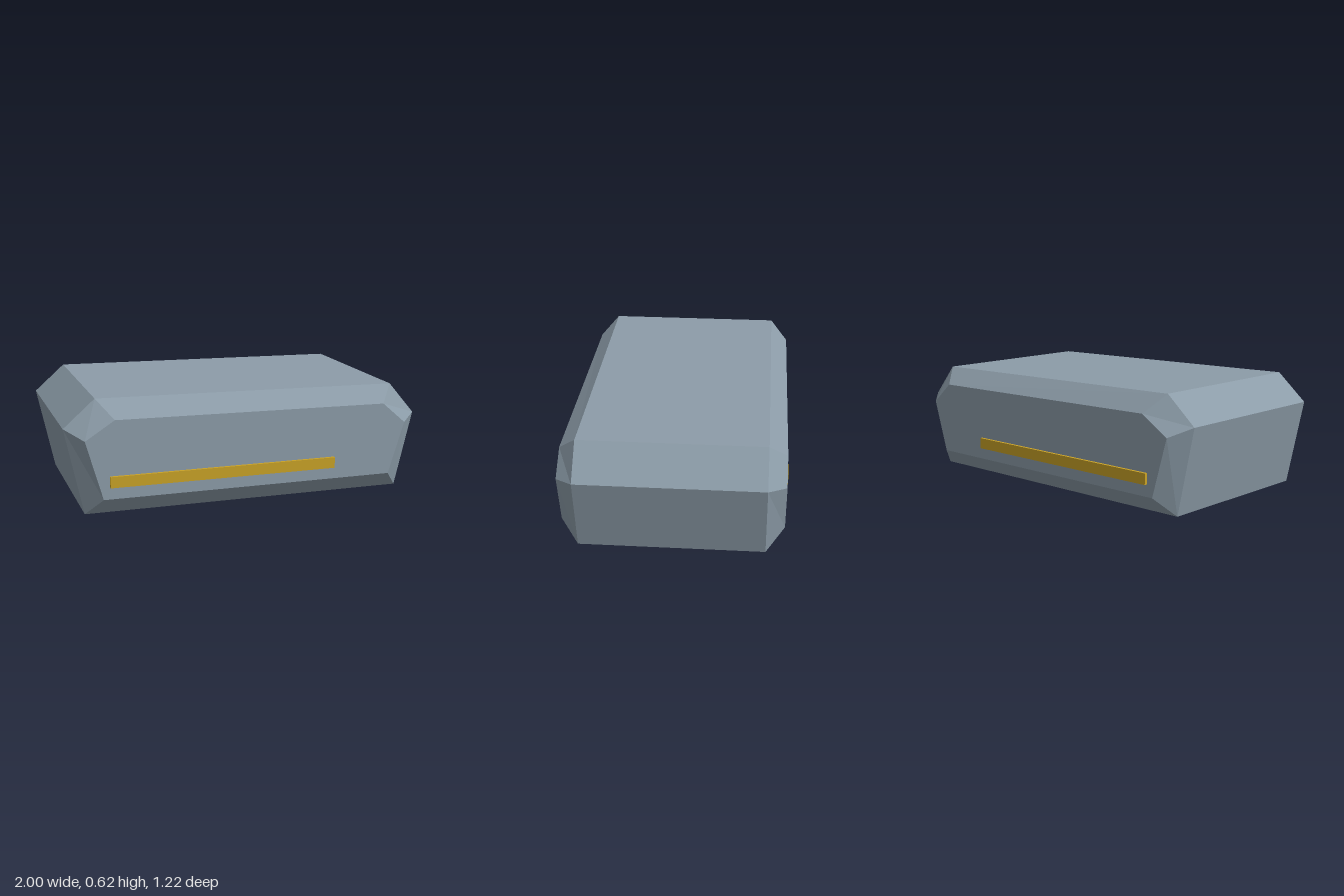
import * as THREE from 'three';

// Side profile, counter-clockwise seen from the front: full size and the smaller end faces
const outer = [[-0.9, 0], [0.9, 0], [1, 0.42], [0.85, 0.595], [-0.83, 0.62], [-1, 0.47]];
const inner = [[-0.815, 0.1], [0.81, 0.1], [0.9, 0.39], [0.767, 0.505], [-0.747, 0.522], [-0.905, 0.42]];

// Joins matching cross-sections [points, z] from back to front and caps both ends
function loft(sections) {
  const n = sections[0][0].length;
  const positions = [];
  const index = [];
  for (const [points, z] of sections) {
    for (const [x, y] of points) positions.push(x, y, z);
  }
  for (let s = 0; s < sections.length - 1; s++) {
    for (let i = 0; i < n; i++) {
      const a = s * n + i;
      const b = s * n + (i + 1) % n;
      index.push(a, b, b + n, a, b + n, a + n);
    }
  }
  const last = (sections.length - 1) * n;
  for (let i = 1; i < n - 1; i++) {
    index.push(0, i + 1, i);
    index.push(last, last + i, last + i + 1);
  }
  const indexed = new THREE.BufferGeometry();
  indexed.setAttribute('position', new THREE.Float32BufferAttribute(positions, 3));
  indexed.setIndex(index);
  const geometry = indexed.toNonIndexed();
  geometry.computeVertexNormals();
  return geometry;
}

export function createModel() {
  const group = new THREE.Group();
  group.name = 'bevelledHull';

  const hullGrey = new THREE.MeshStandardMaterial({ color: 0x8c9ca8 });
  hullGrey.name = 'hullGrey';
  const stripeGold = new THREE.MeshStandardMaterial({ color: 0xc9a227 });
  stripeGold.name = 'stripeGold';

  // Chamfered body
  const body = new THREE.Mesh(
    loft([[inner, -0.593], [outer, -0.495], [outer, 0.495], [inner, 0.593]]),
    hullGrey
  );
  body.name = 'body';
  group.add(body);

  // Raised stripe on the front and the back
  for (const side of [1, -1]) {
    const stripe = new THREE.Mesh(new THREE.BoxGeometry(1.256, 0.06, 0.03), stripeGold);
    stripe.position.set(-0.152, 0.195, side * 0.594);
    stripe.name = side > 0 ? 'frontStripe' : 'backStripe';
    group.add(stripe);
  }

  return group;
}
